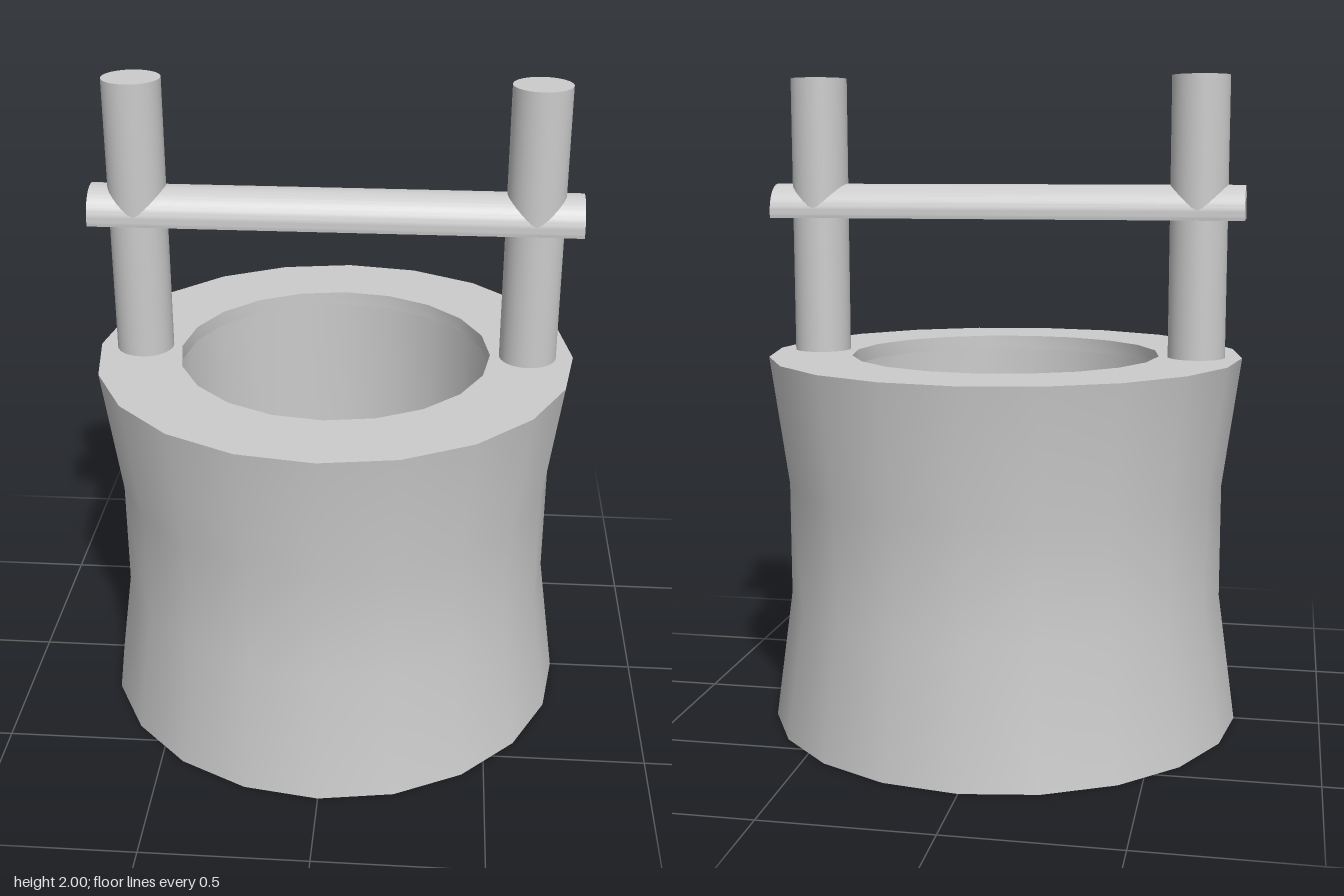
import * as THREE from 'three';
import { toCreasedNormals } from 'three/addons/utils/BufferGeometryUtils.js';

export function createModel() {
  const model = new THREE.Group();
  model.name = 'well';
  const material = new THREE.MeshStandardMaterial({ color: 0xcccccc });

  function add(name, geometry, x = 0, y = 0, z = 0) {
    const mesh = new THREE.Mesh(geometry, material);
    mesh.name = name;
    mesh.position.set(x, y, z);
    model.add(mesh);
    return mesh;
  }

  // Waisted hollow body: base, outer wall, rim, inner lip, shaft and floor
  const profile = [
    [0, 0], [0.735, 0], [0.68, 0.4], [0.68, 0.75], [0.735, 1.15],
    [0.48, 1.15], [0.48, 1.105], [0.51, 1.105], [0.51, 0.05], [0, 0.05],
  ].map(([r, y]) => new THREE.Vector2(r, y));
  add('wellBody', toCreasedNormals(new THREE.LatheGeometry(profile, 20), Math.PI / 6));

  // Two round posts standing on the rim
  const bottom = 1.15, top = 2;
  const postGeometry = new THREE.CylinderGeometry(0.0875, 0.0875, top - bottom, 32);
  for (const [name, side] of [['leftPost', 1], ['rightPost', -1]]) {
    add(name, postGeometry, side * 0.595, (bottom + top) / 2);
  }

  // Crossbeam: a round bar with its underside cut flat
  const radius = 0.0885, cut = 0.0165, length = 1.47;
  const start = -Math.asin(cut / radius);
  const section = new THREE.Shape();
  section.absarc(0, 0, radius, start, Math.PI - start, false);
  section.closePath();
  const beam = new THREE.ExtrudeGeometry(section, { depth: length, bevelEnabled: false, curveSegments: 24 });
  beam.translate(0, 0, -length / 2);
  beam.rotateY(Math.PI / 2);
  add('crossbeam', toCreasedNormals(beam, Math.PI / 6), 0, 1.57 + cut, 0);

  return model;
}
